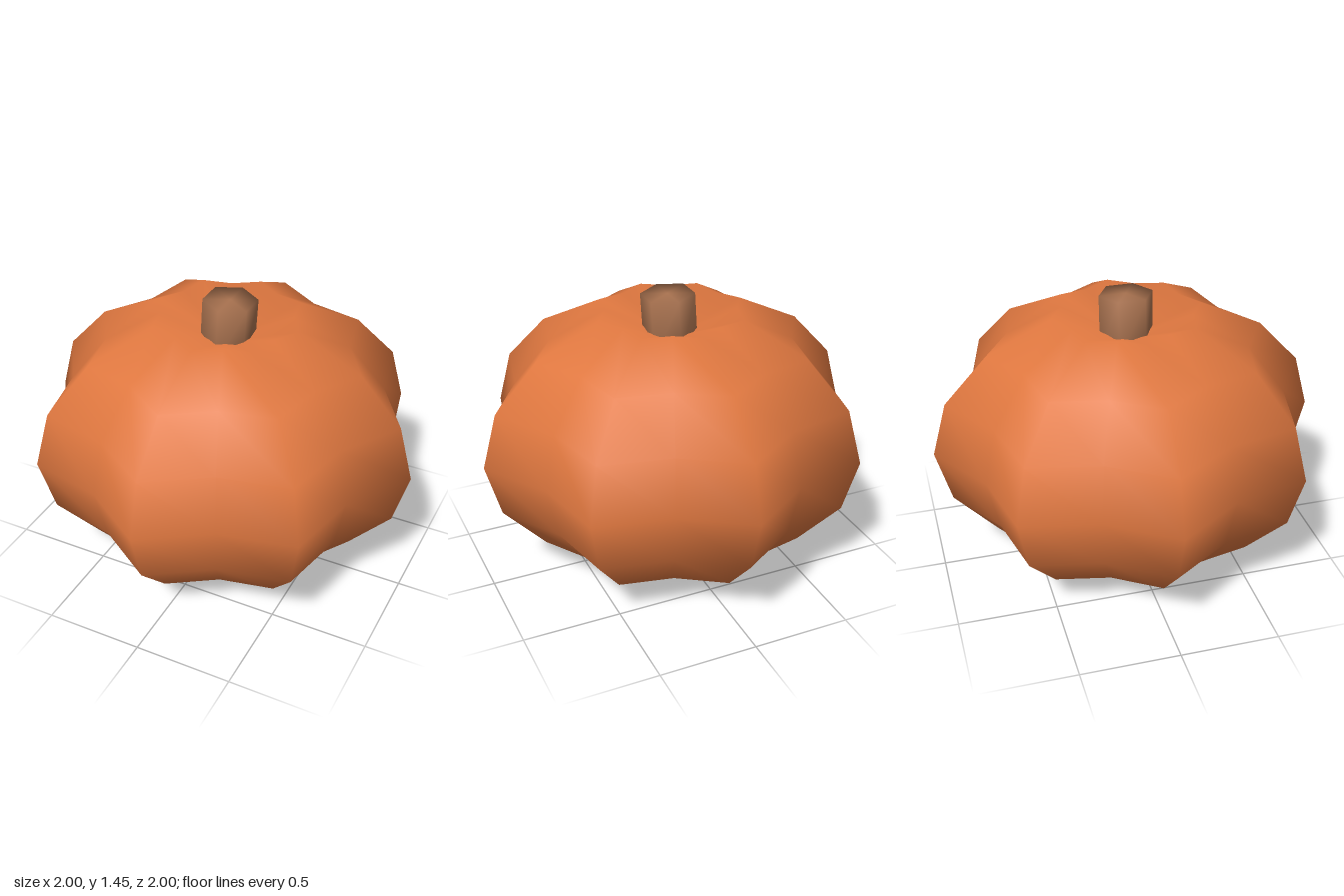
import * as THREE from 'three';
import { mergeVertices } from 'three/addons/utils/BufferGeometryUtils.js';

const orange = new THREE.MeshStandardMaterial({ color: 0xe07840 });
orange.name = 'pumpkin orange';
const brown = new THREE.MeshStandardMaterial({ color: 0xaa7350 });
brown.name = 'stem brown';

// Weld all corners so the low-poly form shades smoothly
function smooth(geometry) {
  geometry.deleteAttribute('normal');
  geometry.deleteAttribute('uv');
  const welded = mergeVertices(geometry, 1e-4);
  welded.computeVertexNormals();
  return welded;
}

function addPart(group, name, geometry, material) {
  const mesh = new THREE.Mesh(smooth(geometry), material);
  mesh.name = name;
  group.add(mesh);
  return mesh;
}

export function createModel() {
  const group = new THREE.Group();
  group.name = 'pumpkin';

  // Ribbed body: squashed sphere with eight ridges and sunken poles
  const body = new THREE.SphereGeometry(1, 16, 8);
  const p = body.attributes.position;
  for (let i = 0; i < p.count; i++) {
    const x = p.getX(i), y = p.getY(i), z = p.getZ(i);
    const pole = Math.abs(y) > 0.99;
    const rib = 0.9275 + 0.0725 * Math.cos(8 * Math.atan2(z, x));
    p.setXYZ(i, pole ? 0 : x * rib, 0.69 + y * (pole ? 0.52 : 0.725), pole ? 0 : z * rib);
  }
  addPart(group, 'body', body, orange);

  // Shallow foot under the body
  const foot = new THREE.CylinderGeometry(0.34, 0.267, 0.045, 8);
  addPart(group, 'foot', foot, orange).position.y = 0.0225;

  // Six-sided stem, leaning slightly
  const stem = new THREE.CylinderGeometry(0.136, 0.136, 0.3, 6);
  const stemMesh = addPart(group, 'stem', stem, brown);
  stemMesh.position.set(0.008, 1.298, 0);
  stemMesh.rotation.z = -0.06;

  return group;
}
